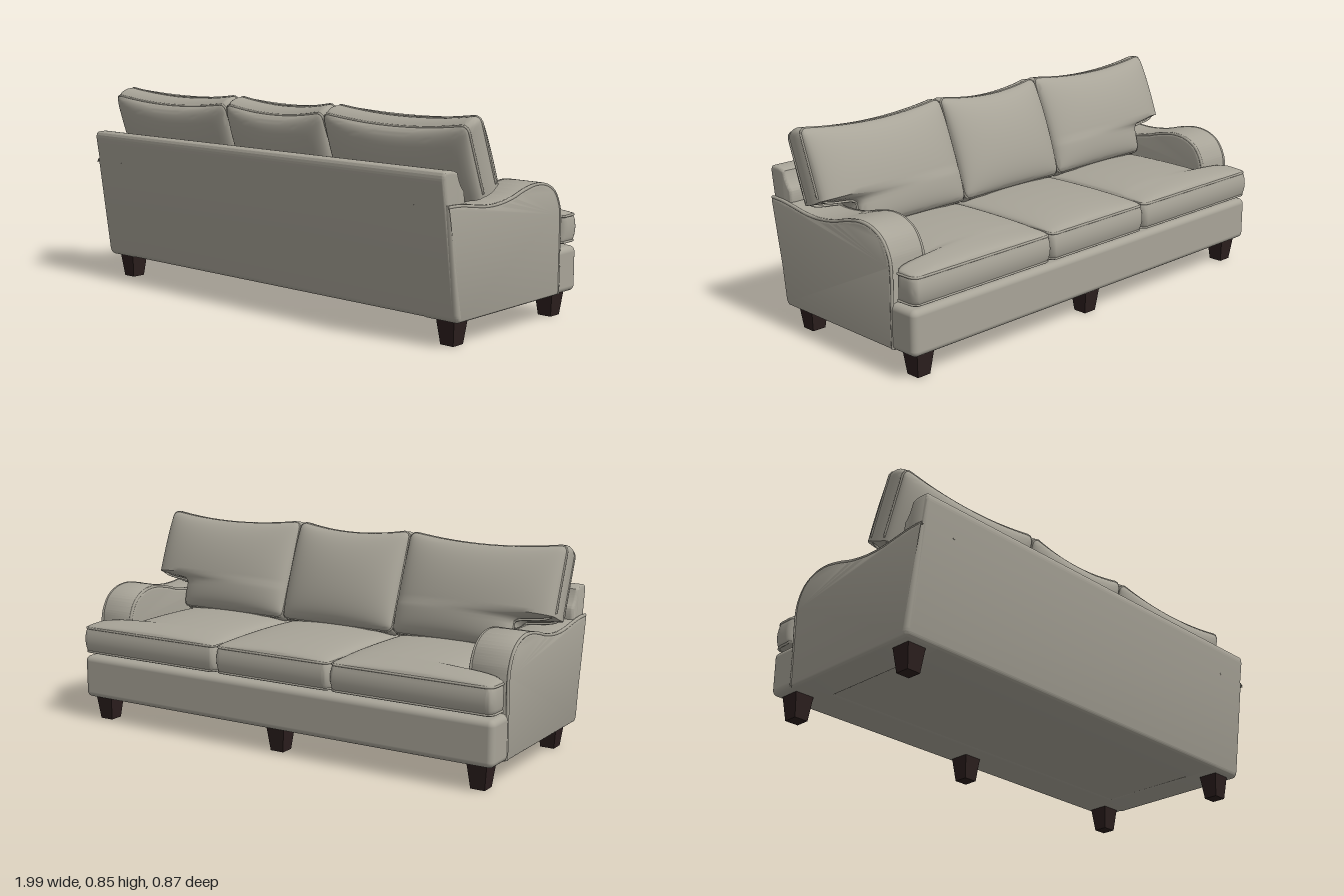
import * as THREE from 'three';
import { toCreasedNormals } from 'three/addons/utils/BufferGeometryUtils.js';
import { RoundedBoxGeometry } from 'three/addons/geometries/RoundedBoxGeometry.js';

const fabric = new THREE.MeshStandardMaterial({ color: 0xa8a498 });
fabric.name = 'warm grey fabric';
const wood = new THREE.MeshStandardMaterial({ color: 0x2c1f1e, flatShading: true });
wood.name = 'dark wood';

function add(parent, name, geometry, material = fabric) {
  const mesh = new THREE.Mesh(geometry, material);
  mesh.name = name;
  parent.add(mesh);
  return mesh;
}

function piping(parent, points, closed, radius = 0.005) {
  const curve = new THREE.CatmullRomCurve3(points, closed, 'centripetal');
  add(parent, 'piping', new THREE.TubeGeometry(curve, 150, radius, 6, closed));
}

// Profile given in (z, y), extruded across x from x0 to x1 with soft edges
function sideExtrude(shape, x0, x1, bevel) {
  const geo = new THREE.ExtrudeGeometry(shape, {
    depth: x1 - x0 - 2 * bevel, bevelThickness: bevel, bevelSize: bevel,
    bevelOffset: -bevel, bevelSegments: 4, curveSegments: 40,
  });
  geo.rotateY(-Math.PI / 2);
  geo.translate(x1 - bevel, 0, 0);
  return toCreasedNormals(geo, 0.7);
}

// Stuffed cushion: u across, v along, w through; outer edge may be notched around the arm
function cushion(name, o) {
  const group = new THREE.Group();
  group.name = name;
  const map = (u0, v, w) => {
    const u = u0 * o.side;
    const t = Math.max(0, (Math.abs(v) - 0.88) / 0.12);
    const squeeze = 0.025 * (1 - Math.sqrt(Math.max(0, 1 - t * t)));
    const bulge = 0.01 * (1 - w * w);
    const outer = o.notch ? o.inset + (o.outer - o.inset) * THREE.MathUtils.smoothstep(v, o.notch - 0.04, o.notch + 0.04) : o.outer;
    const lo = o.inner + squeeze, hi = outer - squeeze;
    const a = (lo + hi) / 2 + u * ((hi - lo) / 2 + bulge * 0.5);
    const b = v * (o.half + bulge) - o.dip * (1 - u * u) * Math.max(0, v);
    const puff = Math.pow(Math.max(0, (1 - u * u) * (1 - v * v)), o.power);
    const c = w * (o.edge + (w > 0 ? o.crownPlus : o.crownMinus) * puff);
    return new THREE.Vector3(a * o.side, b, c);
  };
  const ease = (s) => Math.sin(s * Math.PI / 2);
  const geo = new THREE.BoxGeometry(2, 2, 2, 30, 36, 6);
  const pos = geo.attributes.position;
  for (let i = 0; i < pos.count; i++) {
    const p = map(ease(pos.getX(i)), ease(pos.getY(i)), pos.getZ(i));
    pos.setXYZ(i, p.x, p.y, p.z);
  }
  add(group, 'cushionBody', toCreasedNormals(geo, 0.9));
  // Piped seams around both faces
  for (const w of [-1, 1]) {
    const pts = [];
    const n = 24;
    for (const [u0, v0, u1, v1] of [[-1, -1, 1, -1], [1, -1, 1, 1], [1, 1, -1, 1], [-1, 1, -1, -1]]) {
      for (let i = 0; i < n; i++) {
        const s = i / n;
        pts.push(map(ease(u0 + (u1 - u0) * s), ease(v0 + (v1 - v0) * s), w));
      }
    }
    piping(group, pts, true);
  }
  return group;
}

export function createModel() {
  const sofa = new THREE.Group();
  sofa.name = 'sofa';

  // Base: front rail and deck between the arms
  const rail = add(sofa, 'frontRail', new RoundedBoxGeometry(1.98, 0.185, 0.2, 4, 0.025));
  rail.position.set(0, 0.1925, -0.322);
  const deck = add(sofa, 'seatDeck', new THREE.BoxGeometry(1.9, 0.18, 0.62));
  deck.position.set(0, 0.194, 0.03);

  // Backrest with rolled top
  const back = new THREE.Shape();
  back.moveTo(0.2, 0.102);
  back.lineTo(0.345, 0.102);
  back.quadraticCurveTo(0.36, 0.105, 0.365, 0.13);
  back.lineTo(0.42, 0.52);
  back.lineTo(0.437, 0.63);
  back.quadraticCurveTo(0.44, 0.662, 0.425, 0.664);
  back.quadraticCurveTo(0.38, 0.67, 0.352, 0.655);
  back.quadraticCurveTo(0.34, 0.61, 0.313, 0.585);
  back.quadraticCurveTo(0.306, 0.56, 0.31, 0.52);
  back.lineTo(0.23, 0.3);
  add(sofa, 'backrest', sideExtrude(back, -0.98, 0.98, 0.012));

  // Arms: swooping profile with piped edges
  const top = [[-0.3, 0.42], [-0.29, 0.47], [-0.257, 0.525], [-0.2, 0.558], [-0.13, 0.567], [-0.05, 0.554],
    [0.03, 0.532], [0.12, 0.52], [0.2, 0.521], [0.28, 0.532], [0.35, 0.541], [0.42, 0.543]];
  const arm = new THREE.Shape();
  arm.moveTo(0.345, 0.1);
  arm.quadraticCurveTo(0.36, 0.105, 0.365, 0.13);
  arm.lineTo(0.42, 0.543);
  arm.splineThru(top.slice(0, -1).reverse().map(([z, y]) => new THREE.Vector2(z, y)));
  arm.lineTo(-0.3, 0.1);
  for (const s of [-1, 1]) {
    const group = new THREE.Group();
    group.name = s > 0 ? 'leftArm' : 'rightArm';
    const x0 = s > 0 ? 0.82 : -0.993;
    add(group, 'armBody', sideExtrude(arm, x0, x0 + 0.173, 0.018));
    for (const x of [0.986, 0.828]) {
      const path = [[-0.296, 0.105], [-0.296, 0.25], ...top.map(([z, y]) => [z + 0.003, y - 0.006])];
      piping(group, path.map(([z, y]) => new THREE.Vector3(x * s, y, z)), false, 0.007);
    }
    sofa.add(group);
  }

  // Seat and back cushions: a plain one in the middle, a notched one each side
  for (const [label, side] of [['middle', 0], ['left', 1], ['right', -1]]) {
    const span = side
      ? { side, inner: 0.28, outer: 0.983, inset: 0.815 }
      : { side: 1, inner: -0.272, outer: 0.272 };
    const seat = cushion(label + 'SeatCushion', {
      ...span, notch: side ? 0.62 : 0, half: 0.31, dip: 0, edge: 0.052,
      crownPlus: 0.045, crownMinus: 0.02, power: 0.35,
    });
    seat.rotation.x = -Math.PI / 2;
    seat.position.set(0, 0.358, -0.112);
    const rest = cushion(label + 'BackCushion', {
      ...span, notch: side ? -0.4 : 0, half: 0.215, dip: 0.025, edge: 0.041,
      crownPlus: 0.075, crownMinus: 0.085, power: 0.38,
    });
    rest.rotation.x = 0.367;
    rest.position.set(0, 0.632, 0.19);
    sofa.add(seat, rest);
  }

  // Tapered square feet: three in front, two behind
  for (const [x, z] of [[-0.91, -0.35], [0, -0.35], [0.91, -0.35], [-0.91, 0.288], [0.91, 0.288]]) {
    const geo = new THREE.CylinderGeometry(0.043 * Math.SQRT2, 0.03 * Math.SQRT2, 0.108, 4);
    geo.rotateY(Math.PI / 4);
    add(sofa, 'foot', geo, wood).position.set(x, 0.054, z);
  }
  return sofa;
}
